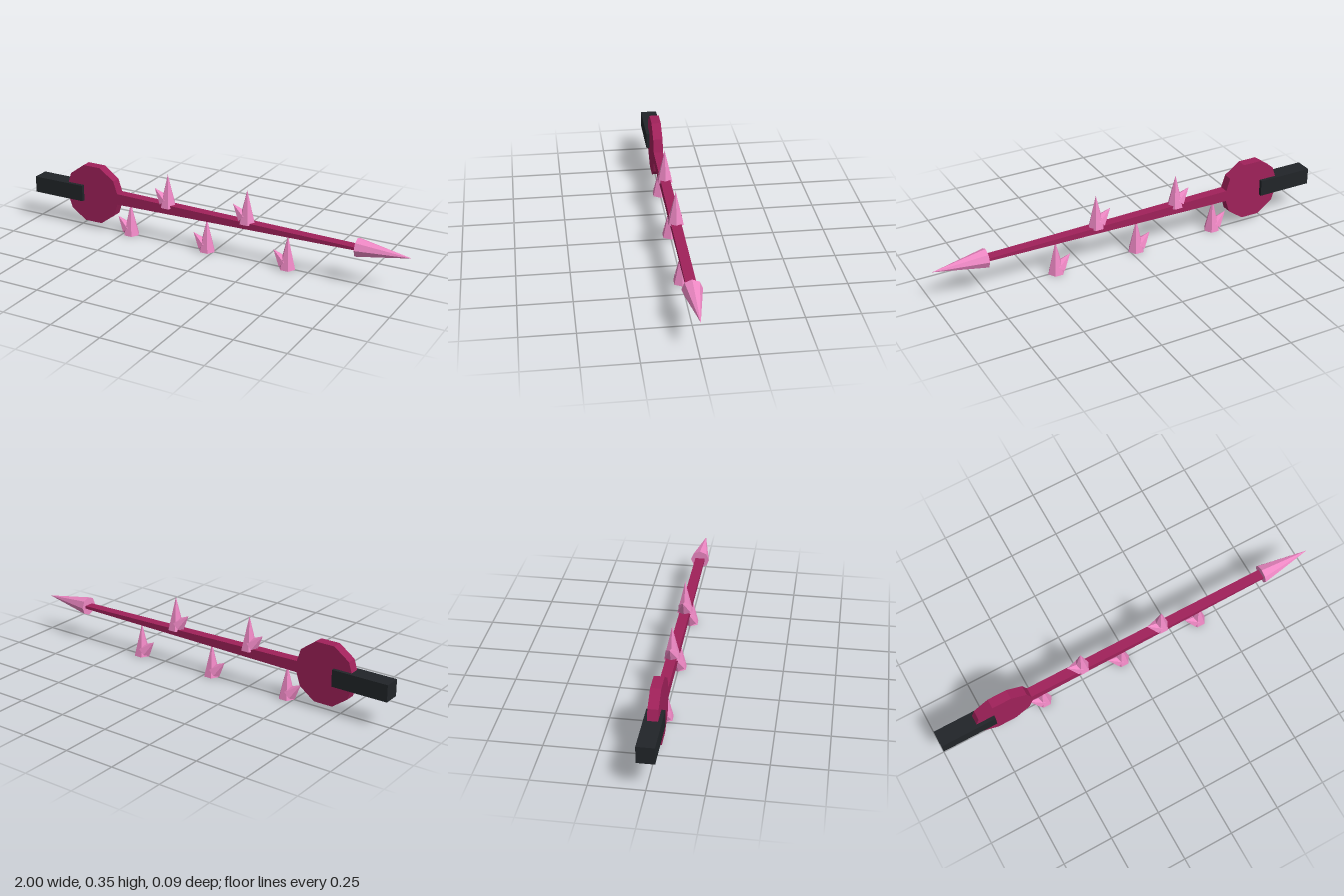
import * as THREE from 'three';

const AXIS_Y = 0.18;

export function createModel() {
  const group = new THREE.Group();
  const mat = (color) => {
    const m = new THREE.MeshStandardMaterial({ flatShading: true });
    m.color.set(color);
    return m;
  };
  const black = mat(0x212529), crimson = mat(0xa0215a), pink = mat(0xee88c4);

  const add = (name, geometry, material, x, y, parent = group) => {
    const mesh = new THREE.Mesh(geometry, material);
    mesh.name = name;
    mesh.position.set(x, y, 0);
    parent.add(mesh);
    return mesh;
  };

  // Square grip
  add('handle', new THREE.BoxGeometry(0.28, 0.082, 0.082), black, -0.86, AXIS_Y);

  // Ten-sided guard plate facing front and back
  const guard = new THREE.CylinderGeometry(0.154, 0.154, 0.048, 10, 1, false, Math.PI / 2);
  guard.rotateX(Math.PI / 2);
  add('guard', guard, crimson, -0.67, AXIS_Y);

  // Blade of even thickness, tapering in height
  const profile = new THREE.Shape([
    new THREE.Vector2(-0.6, -0.029), new THREE.Vector2(0.8, -0.006),
    new THREE.Vector2(0.8, 0.006), new THREE.Vector2(-0.6, 0.029),
  ]);
  const blade = new THREE.ExtrudeGeometry(profile, { depth: 0.048, bevelEnabled: false });
  blade.translate(0, 0, -0.024);
  add('blade', blade, crimson, 0, AXIS_Y);

  // Pointed tip
  const tip = new THREE.ConeGeometry(0.047, 0.26, 8);
  tip.rotateZ(-Math.PI / 2);
  add('tip', tip, pink, 0.87, AXIS_Y);

  // Barbs alternate below and above the blade, each with a small thorn leaning to the grip
  const spike = new THREE.ConeGeometry(0.041, 0.165, 6, 1, false, Math.PI / 2);
  spike.translate(0, 0.0825, 0);
  const thorn = new THREE.ConeGeometry(0.035, 0.08, 6, 1, false, Math.PI / 2);
  thorn.translate(0, 0.04, 0);
  thorn.rotateZ(Math.PI / 4);
  for (let i = 0; i < 5; i++) {
    const barb = new THREE.Group();
    barb.name = 'barb' + (i + 1);
    barb.position.set(-0.462 + i * 0.214, i % 2 ? 0.188 : 0, 0);
    add('spike', spike, pink, 0, 0, barb);
    add('thorn', thorn, pink, -0.018, 0.026, barb);
    group.add(barb);
  }
  return group;
}
